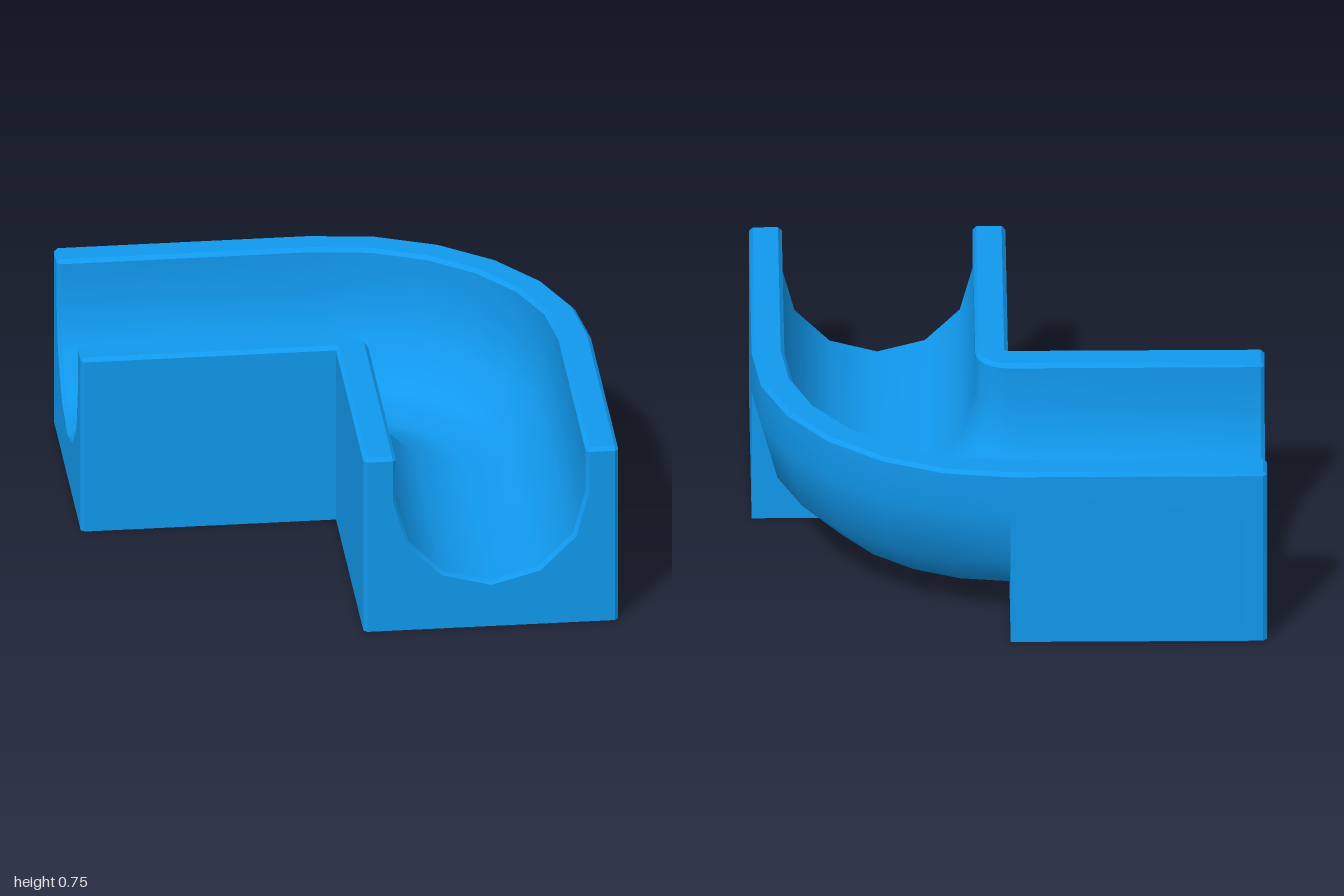
import * as THREE from 'three';
import { mergeGeometries, toCreasedNormals } from 'three/addons/utils/BufferGeometryUtils.js';

const HEIGHT = 0.75;   // top of the rims
const AXIS = 0.565;    // height of the channel's centre line
const RADIUS = 0.372;  // channel radius
const BEVEL = 0.015;
const STEP = Math.PI / 6;

// Rims and channel in (r, y), from outer to inner side; inset shrinks them for end bevels
function troughProfile(inset = 0) {
  const shoulder = HEIGHT - BEVEL, top = HEIGHT - inset, r = RADIUS + inset;
  const pts = [[1 - inset, AXIS], [1 - inset, shoulder], [1 - BEVEL, top],
    [0.5 + RADIUS + BEVEL, top], [0.5 + r, shoulder]];
  for (let i = 0; i <= 6; i++) {
    pts.push([0.5 + r * Math.cos(i * STEP), AXIS - r * Math.sin(i * STEP)]);
  }
  pts.push([0.5 - r, shoulder], [0.5 - RADIUS - BEVEL, top], [BEVEL, top], [inset, shoulder]);
  return pts;
}

// Straight block section: the trough with walls down to the ground
const blockProfile = (inset = 0) =>
  [[1 - inset, 0], ...troughProfile(inset), [inset, 0]];

// Rounded underside of the bend, from its lowest point out to the wall
const underside = [3, 2, 1].map(i =>
  [0.5 + 0.5 * Math.cos(i * STEP), AXIS - 0.5 * Math.sin(i * STEP)]);

// Skin between successive rings of points
function loft(rings) {
  const pos = [];
  for (let i = 0; i < rings.length - 1; i++) {
    for (let j = 0; j < rings[i].length - 1; j++) {
      const a = rings[i][j], b = rings[i + 1][j];
      const c = rings[i + 1][j + 1], d = rings[i][j + 1];
      pos.push(...a, ...b, ...d, ...b, ...c, ...d);
    }
  }
  const g = new THREE.BufferGeometry();
  g.setAttribute('position', new THREE.Float32BufferAttribute(pos, 3));
  return g;
}

const flat = pts => new THREE.ShapeGeometry(
  new THREE.Shape(pts.map(([x, y]) => new THREE.Vector2(x, y))));

export function createModel() {
  const group = new THREE.Group();
  group.name = 'curvedTroughTrack';
  const material = new THREE.MeshStandardMaterial({ color: 0x1199ee, side: THREE.DoubleSide });
  const add = (name, geometry) => {
    const mesh = new THREE.Mesh(geometry, material);
    mesh.name = name;
    group.add(mesh);
    return mesh;
  };

  // Front and side straights, each with a bevelled open end
  const inset = BEVEL * 0.95;
  const stations = [[1, inset], [1 - BEVEL, 0], [0, 0]];
  const front = stations.map(([s, i]) => blockProfile(i).map(([r, y]) => [r, y, s]));
  const side = stations.map(([s, i]) => blockProfile(i).map(([r, y]) => [-s, y, -r])).reverse();

  // Quarter bend between them
  const bendProfile = [...underside, ...troughProfile()];
  const bend = [];
  for (let k = 0; k <= 6; k++) {
    const a = k * Math.PI / 12;
    bend.push(bendProfile.map(([r, y]) => [r * Math.cos(a), y, -r * Math.sin(a)]));
  }

  // Joined before smoothing so the channel shades evenly through the bend
  const skin = mergeGeometries([loft(front), loft(bend), loft(side)]);
  add('trough', toCreasedNormals(skin, 0.6));

  // Faces around the channel openings
  const endFace = flat(blockProfile(inset));
  add('frontEndFace', endFace).position.z = 1;
  const sideEnd = add('sideEndFace', endFace);
  sideEnd.position.x = -1;
  sideEnd.rotation.y = Math.PI / 2;

  // Walls closing the straights below the bend
  const cap = flat([[0, 0], [1, 0], [1, AXIS], ...underside.slice().reverse()]);
  add('frontBlockInnerWall', cap);
  add('sideBlockInnerWall', cap).rotation.y = Math.PI / 2;

  return group;
}
